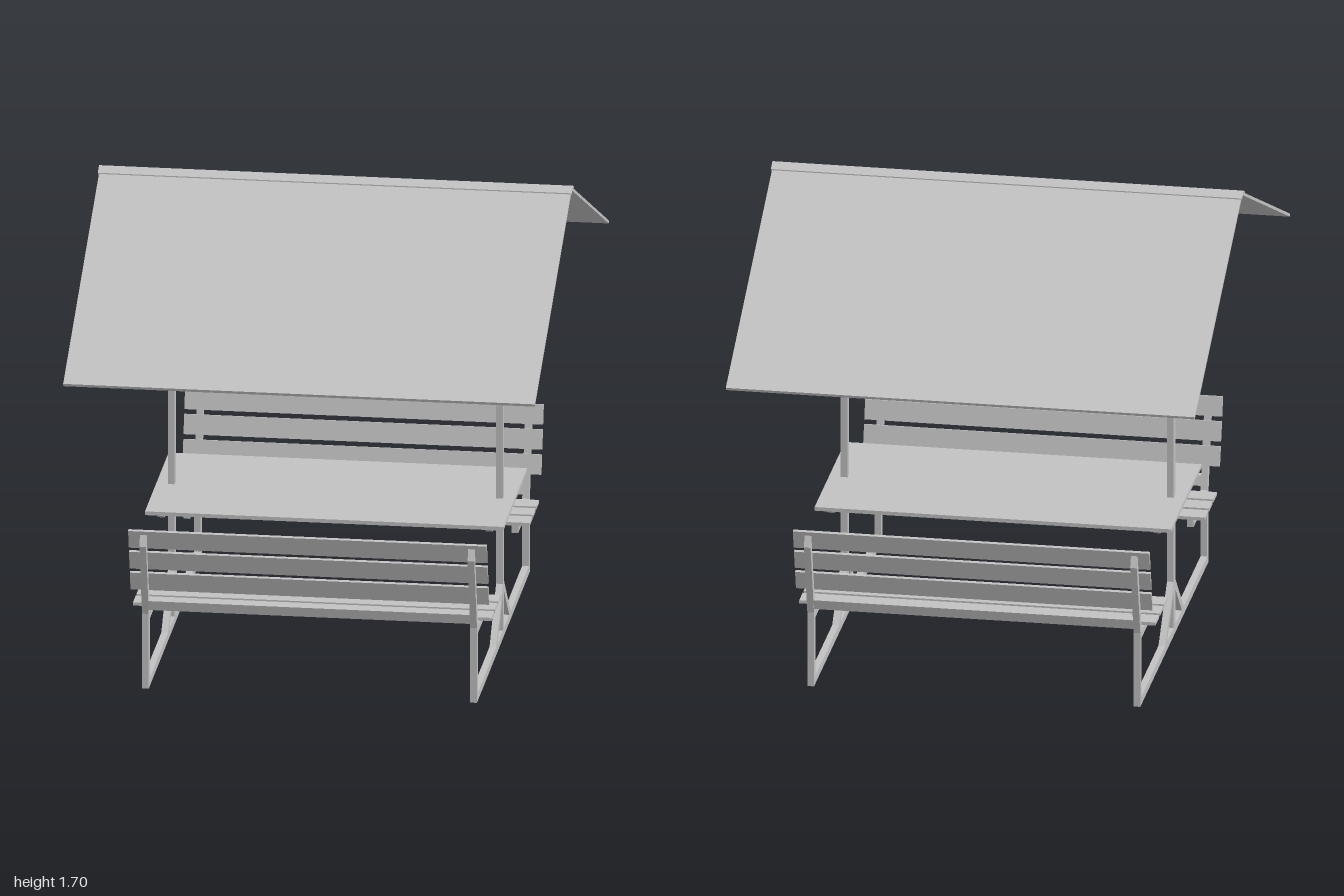
import * as THREE from 'three';

export function createModel() {
  const model = new THREE.Group();
  const grey = new THREE.MeshStandardMaterial({ color: 0xc2c2c2 });
  grey.name = 'light grey';

  function add(name, geometry, parent = model) {
    const mesh = new THREE.Mesh(geometry, grey);
    mesh.name = name;
    parent.add(mesh);
    return mesh;
  }
  // Box given by its limits on each axis
  function box(name, x0, x1, y0, y1, z0, z1, parent) {
    const g = new THREE.BoxGeometry(x1 - x0, y1 - y0, z1 - z0);
    g.translate((x0 + x1) / 2, (y0 + y1) / 2, (z0 + z1) / 2);
    return add(name, g, parent);
  }
  // Plate with a [z, y] outline, running from x0 to x1
  function profile(name, points, x0, x1, parent) {
    const shape = new THREE.Shape(points.map(([z, y]) => new THREE.Vector2(-z, y)));
    const g = new THREE.ExtrudeGeometry(shape, { depth: x1 - x0, bevelEnabled: false });
    g.rotateY(Math.PI / 2).translate(x0, 0, 0);
    return add(name, g, parent);
  }
  const flip = (points, s) => points.map(([z, y]) => [z * s, y]);

  const F = 0.586, H = 0.012; // frame position and half thickness

  // Two end frames
  for (const side of [-1, 1]) {
    const frame = new THREE.Group();
    frame.name = side > 0 ? 'leftFrame' : 'rightFrame';
    model.add(frame);
    const a = side * F - H, b = side * F + H;
    box('floorBeam', a, b, 0, 0.03, -0.715, 0.715, frame);
    box('post', a, b, 0.03, 1.685, -0.017, 0.017, frame);
    box('tieBeam', a, b, 1.365, 1.395, -0.61, 0.61, frame);
    profile('tableSupport', [[-0.29, 0.495], [0.29, 0.495], [0.315, 0.511], [-0.315, 0.511]], a, b, frame);
    for (const s of [-1, 1]) {
      const piece = (name, pts, inset = 0) => profile(name, flip(pts, s), a + inset, b - inset, frame);
      piece('footBrace', [[0.155, 0.03], [0.195, 0.03], [0.017, 0.205], [0.017, 0.165]]);
      piece('roofBrace', [[0.017, 1.09], [0.017, 1.117], [0.285, 1.365], [0.318, 1.365]], 0.004);
      piece('rafter', [[0, 1.66], [0, 1.686], [0.97, 1.232], [0.97, 1.213]]);
      piece('benchLeg', [[0.685, 0.03], [0.715, 0.03], [0.715, 0.28], [0.685, 0.28]]);
      piece('seatSupport', [[0.4, 0.252], [0.685, 0.252], [0.685, 0.282], [0.4, 0.282]]);
      piece('backSupport', [[0.685, 0.28], [0.715, 0.28], [0.788, 0.555], [0.77, 0.595]]);
    }
  }

  // Benches: seat slats, leaning back slats and rear rail
  for (const s of [-1, 1]) {
    const bench = new THREE.Group();
    bench.name = s > 0 ? 'frontBench' : 'backBench';
    model.add(bench);
    for (let i = 0; i < 3; i++) {
      const z = 0.39 + i * 0.089;
      profile('seatSlat', flip([[z, 0.283], [z + 0.073, 0.283], [z + 0.073, 0.295], [z, 0.295]], s), -0.64, 0.64, bench);
      const y = 0.367 + i * 0.086, top = y + 0.072;
      const lean = (h) => 0.685 + (h - 0.28) * 0.27;
      profile('backSlat', flip([[lean(y) - 0.012, y + 0.003], [lean(y), y], [lean(top), top - 0.003], [lean(top) - 0.012, top]], s), -0.64, 0.64, bench);
    }
    profile('rearRail', flip([[0.69, 0.295], [0.716, 0.295], [0.724, 0.331], [0.7, 0.331]], s), -F + H, F - H, bench);
  }

  // Table
  box('tableTop', -0.64, 0.64, 0.511, 0.525, -0.32, 0.32);
  box('tableBeam', -F + H, F - H, 0.488, 0.511, -0.012, 0.012);

  // Roof sheets, purlins, ridge beam and ridge cap
  for (const s of [-1, 1]) {
    profile('roofSheet', flip([[0, 1.686], [0, 1.698], [1, 1.228], [0.996, 1.218]], s), -0.842, 0.842);
    profile('purlin', flip([[0.585, 1.38], [0.61, 1.37], [0.61, 1.398], [0.585, 1.41]], s), -F + H, F - H);
  }
  box('ridgeBeam', -F + H, F - H, 1.65, 1.68, -0.012, 0.012);
  profile('ridgeCap', [[-0.034, 1.68], [0, 1.696], [0.034, 1.68], [0.034, 1.686], [0, 1.703], [-0.034, 1.686]], -0.846, 0.846);

  return model;
}
